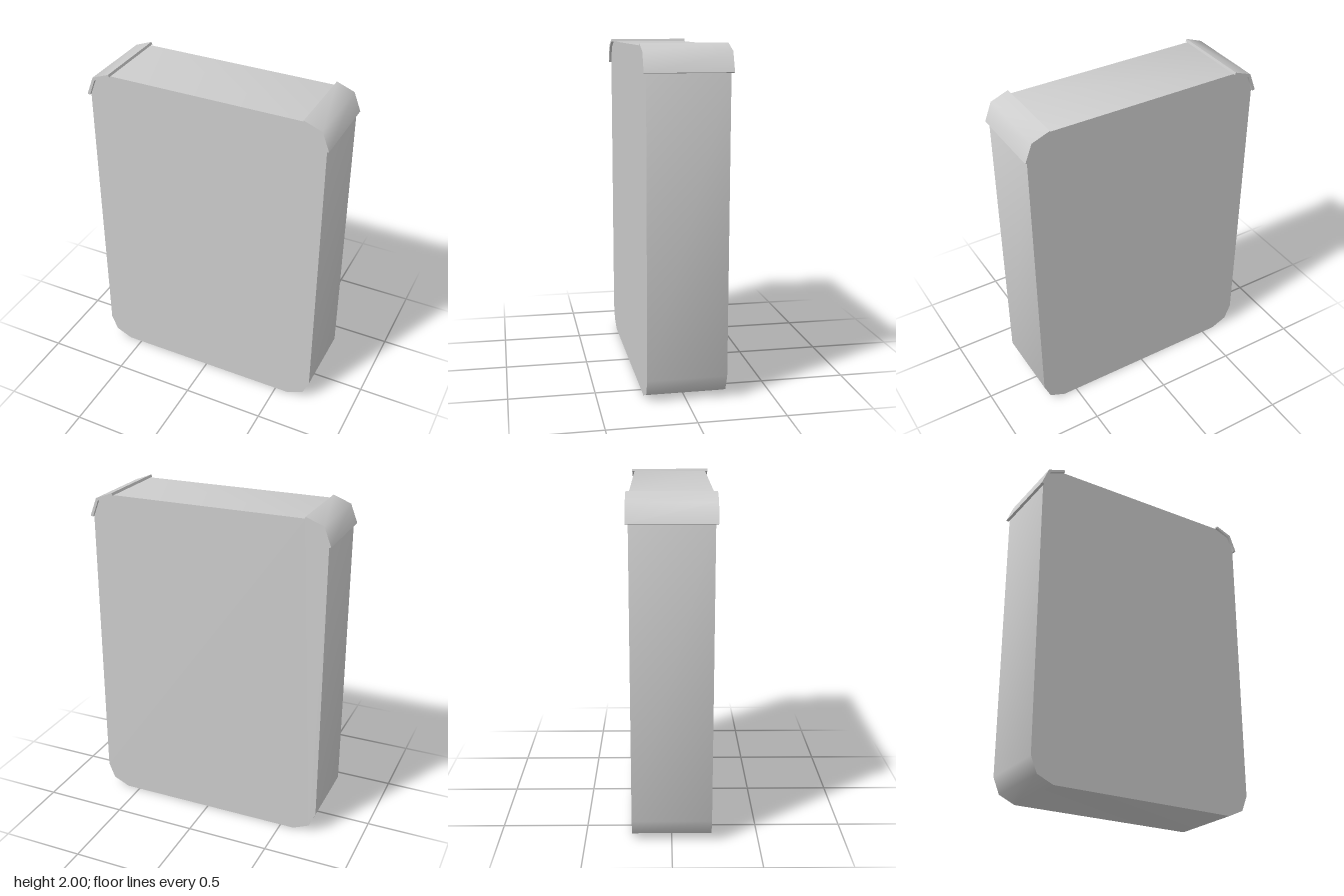
import * as THREE from 'three';
import { toCreasedNormals } from 'three/addons/utils/BufferGeometryUtils.js';

// Extrudes an outline along z, centred, with soft bends and sharp rims
function slab(points, depth) {
  const shape = new THREE.Shape(points.map(([x, y]) => new THREE.Vector2(x, y)));
  const geometry = new THREE.ExtrudeGeometry(shape, { depth, bevelEnabled: false });
  geometry.translate(0, 0, -depth / 2);
  return toCreasedNormals(geometry, 0.85);
}

export function createModel() {
  const group = new THREE.Group();
  const material = new THREE.MeshStandardMaterial({ color: 0xcccccc });
  const add = (name, geometry) => {
    const mesh = new THREE.Mesh(geometry, material);
    mesh.name = name;
    group.add(mesh);
  };

  // Upright case with two-step clipped corners
  const half = [
    [0.585, 0], [0.685, 0.045], [0.724, 0.14],
    [0.724, 1.845], [0.685, 1.945], [0.585, 1.985],
  ];
  const mirrored = half.map(([x, y]) => [-x, y]).reverse();
  add('body', slab([...half, ...mirrored], 0.46));

  // Thin bent guards wrapped over the two top corners
  const guard = [
    [0.585, 1.985], [0.685, 1.945], [0.724, 1.845],
    [0.74, 1.849], [0.697, 1.959], [0.59, 2],
  ];
  for (const [name, side] of [['leftCornerGuard', 1], ['rightCornerGuard', -1]]) {
    add(name, slab(guard.map(([x, y]) => [x * side, y]), 0.49));
  }
  return group;
}
